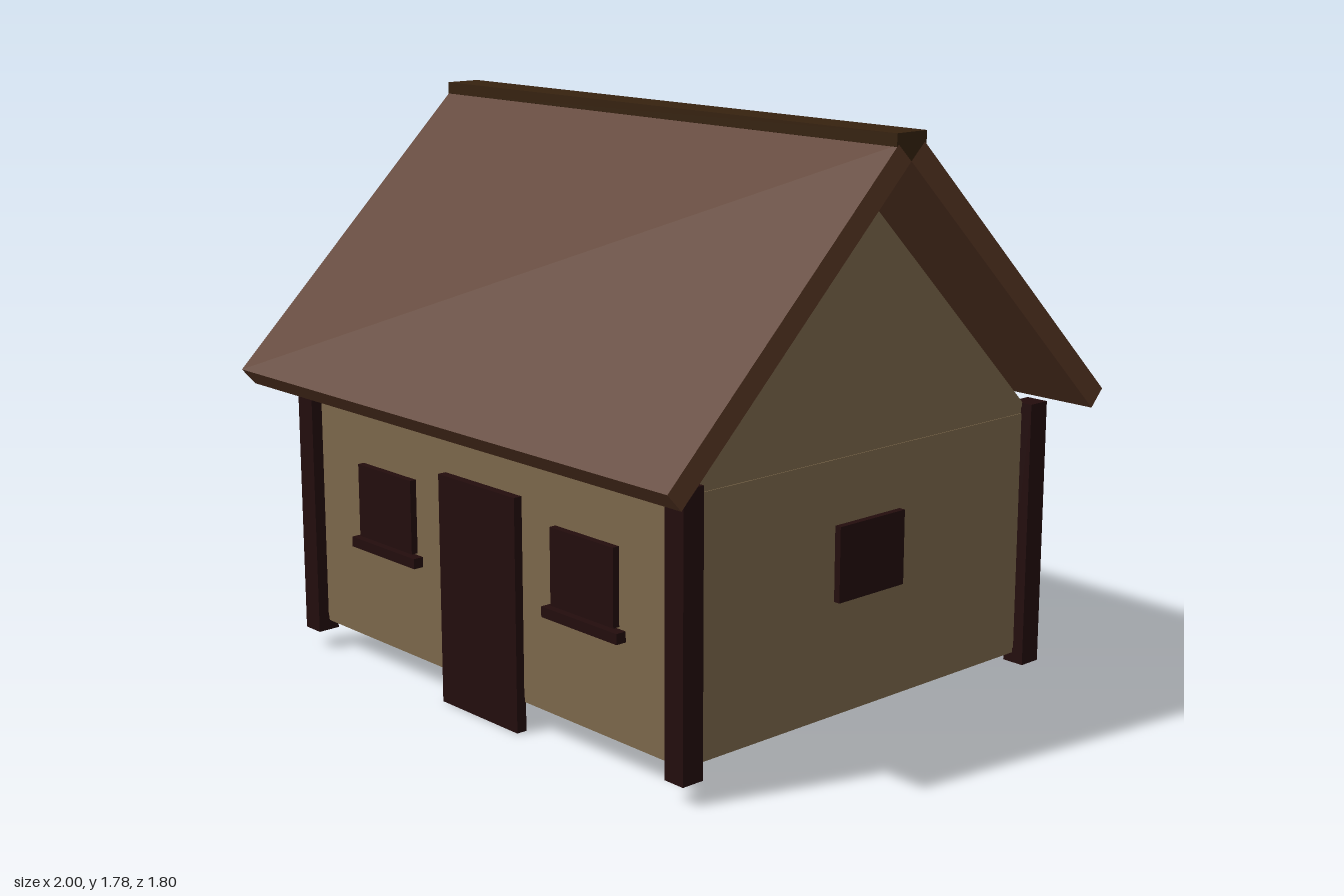
import * as THREE from 'three';

export function createModel() {
  const house = new THREE.Group();
  house.name = 'cottage';

  const material = (name, color) => {
    const m = new THREE.MeshStandardMaterial({ color });
    m.name = name;
    return m;
  };
  const plaster = material('plaster', 0x7c684b);
  const darkWood = material('dark wood', 0x230d0d);
  const roofing = material('brown roofing', 0x5a3825);
  const ridgeWood = material('ridge wood', 0x36220f);

  const add = (name, geometry, mat) => {
    const mesh = new THREE.Mesh(geometry, mat);
    mesh.name = name;
    house.add(mesh);
    return mesh;
  };
  // Box given by its min and max on each axis
  const box = (name, mat, x0, x1, y0, y1, z0, z1) => {
    const mesh = add(name, new THREE.BoxGeometry(x1 - x0, y1 - y0, z1 - z0), mat);
    mesh.position.set((x0 + x1) / 2, (y0 + y1) / 2, (z0 + z1) / 2);
    return mesh;
  };
  // Outline of [z, y] points extruded along x from x0 to x1
  const prism = (name, mat, points, x0, x1) => {
    const shape = new THREE.Shape(points.map(([z, y]) => new THREE.Vector2(-z, y)));
    const g = new THREE.ExtrudeGeometry(shape, { depth: x1 - x0, bevelEnabled: false });
    g.rotateY(Math.PI / 2);
    g.translate(x0, 0, 0);
    return add(name, g, mat);
  };

  // Wall block between a floor slab and a ceiling slab
  const W = 0.867, D = 0.718;
  box('floor', plaster, -W + 0.003, W - 0.003, 0.09, 0.106, -D + 0.003, D - 0.003);
  box('walls', plaster, -W, W, 0.106, 0.857, -D, D);
  box('ceiling', plaster, -W + 0.003, W - 0.003, 0.857, 0.875, -D + 0.003, D - 0.003);

  // Gable triangles, open to the attic
  const gable = [[-0.7, 0.875], [0.7, 0.875], [0, 1.563]];
  prism('gableLeft', plaster, gable, W - 0.03, W);
  prism('gableRight', plaster, gable, -W, -W + 0.03);

  // Corner posts
  for (const sx of [-1, 1]) {
    for (const sz of [-1, 1]) {
      const post = add('cornerPost', new THREE.BoxGeometry(0.074, 0.832, 0.074), darkWood);
      post.position.set(sx * W, 0.474, sz * D);
    }
  }

  // Front door
  box('door', darkWood, -0.18, 0.18, 0, 0.717, 0.712, 0.746);

  // Front windows with sills
  for (const s of [-1, 1]) {
    const cx = s * 0.468;
    box('frontWindow', darkWood, cx - 0.136, cx + 0.136, 0.43, 0.663, 0.7, 0.74);
    box('windowSill', darkWood, cx - 0.163, cx + 0.163, 0.392, 0.424, 0.7, 0.752);
  }

  // Window on the left end wall
  box('sideWindow', darkWood, 0.85, 0.888, 0.437, 0.663, -0.135, 0.135);

  // Two sloping roof boards and the ridge beam resting in the notch between them
  for (const s of [-1, 1]) {
    const outline = [[0.9, 0.924], [0.053, 1.747], [0, 1.697], [0.851, 0.871]];
    prism(s > 0 ? 'roofFront' : 'roofBack', roofing, outline.map(([z, y]) => [s * z, y]), -1, 1);
  }
  prism('ridgeBeam', ridgeWood,
    [[-0.06, 1.778], [-0.06, 1.741], [0, 1.697], [0.06, 1.741], [0.06, 1.778]], -1, 1);

  return house;
}
